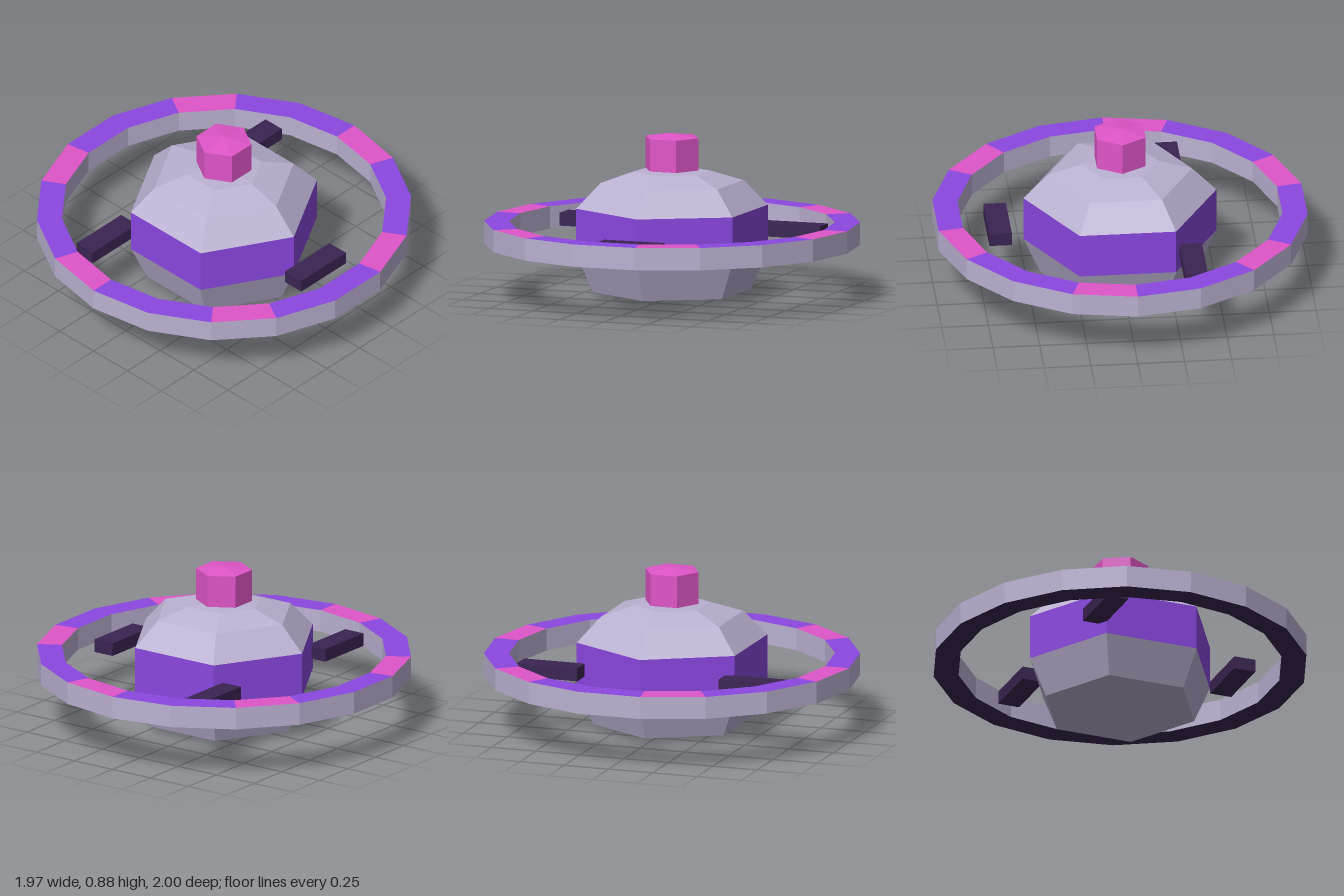
import * as THREE from 'three';

const mat = (name, color) => {
  const m = new THREE.MeshStandardMaterial({ color });
  m.name = name;
  return m;
};

export function createModel() {
  const hull = mat('pale lilac grey', 0xbbb1d2);
  const violet = mat('violet', 0x8a47e0);
  const pink = mat('pink', 0xdf55c8);
  const dark = mat('dark plum', 0x3a2452);

  const model = new THREE.Group();
  model.name = 'station';

  const add = (parent, name, geometry, material) => {
    const mesh = new THREE.Mesh(geometry, material);
    mesh.name = name;
    parent.add(mesh);
    return mesh;
  };

  // Faceted turned surface; profile points are [radius, y]
  const turned = (profile, sides, start = 0, arc = Math.PI * 2) => {
    const points = profile.map(([r, y]) => new THREE.Vector2(r, y));
    const g = new THREE.LatheGeometry(points, sides, start, arc).toNonIndexed();
    g.computeVertexNormals();
    return g;
  };

  // Six-sided body: lower hull, coloured belt, upper dome
  const body = new THREE.Group();
  body.name = 'body';
  model.add(body);
  const corner = Math.PI / 2;
  add(body, 'lowerHull', turned([[0, 0.005], [0.425, 0.04], [0.515, 0.245]], 6, corner), hull);
  add(body, 'belt', turned([[0.515, 0.245], [0.515, 0.49]], 6, corner), violet);
  add(body, 'upperDome', turned([[0.515, 0.49], [0.385, 0.625], [0.205, 0.68], [0, 0.692]], 6, corner), hull);

  // Beacon on top, its corners facing front and back
  add(model, 'beacon', turned([[0, 0.692], [0.15, 0.692], [0.15, 0.865], [0, 0.885]], 6), pink);

  // Ring of 18 segments: plain walls, dark underside, striped top
  const ring = new THREE.Group();
  ring.name = 'ring';
  model.add(ring);
  const outer = 1, inner = 0.866, low = 0.29, high = 0.41, count = 18;
  add(ring, 'outerWall', turned([[outer, low], [outer, high]], count), hull);
  add(ring, 'innerWall', turned([[inner, high], [inner, low]], count), hull);
  add(ring, 'underside', turned([[inner, low], [outer, low]], count), dark);
  const step = (Math.PI * 2) / count;
  for (let i = 0; i < count; i++) {
    add(ring, 'topPanel', turned([[outer, high], [inner, high]], 1, i * step, step),
      i % 3 === 2 ? pink : violet);
  }

  // Three loose blocks between body and ring
  for (const [x, z] of [[0.655, -0.02], [-0.315, 0.57], [-0.34, -0.563]]) {
    add(model, 'block', new THREE.BoxGeometry(0.12, 0.07, 0.343), dark).position.set(x, 0.35, z);
  }

  return model;
}
